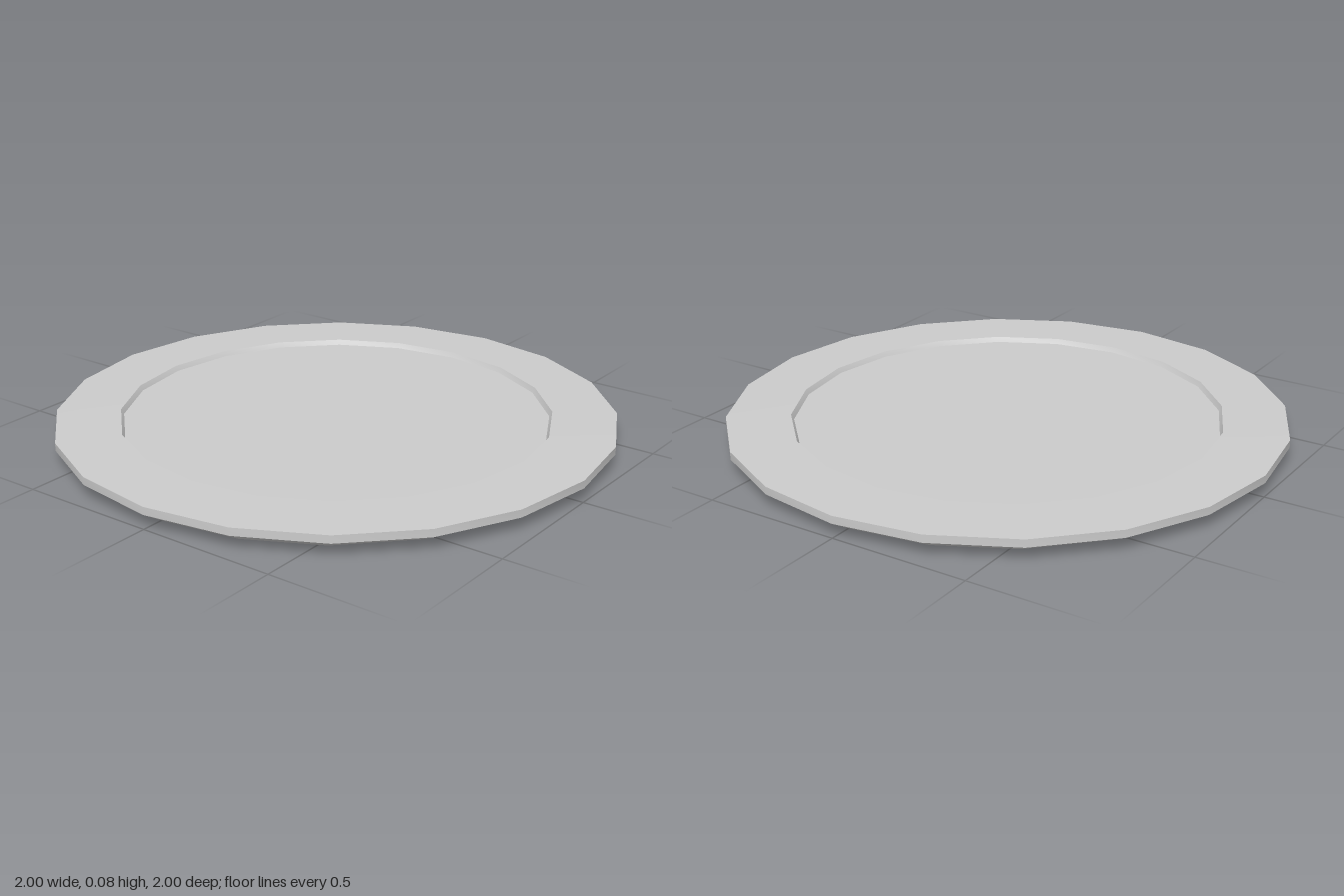
import * as THREE from 'three';
import { toCreasedNormals } from 'three/addons/utils/BufferGeometryUtils.js';

const SIDES = 20;

// Revolve [radius, height] points, listed from the underside outwards and up
function revolve(name, points, material) {
  const profile = points.map(([r, y]) => new THREE.Vector2(r, y));
  const lathe = new THREE.LatheGeometry(profile, SIDES);
  const pos = lathe.attributes.position;
  // The foot is slightly wider from side to side than from front to back
  for (let i = 0; i < pos.count; i++) {
    if (pos.getY(i) < 0.01) pos.setX(i, pos.getX(i) * 1.02);
  }
  const mesh = new THREE.Mesh(toCreasedNormals(lathe, Math.PI / 7), material);
  mesh.name = name;
  return mesh;
}

export function createModel() {
  const group = new THREE.Group();
  group.name = 'plate';
  const material = new THREE.MeshStandardMaterial({ color: 0xcccccc });

  // Flat underside, sloping flank and upright edge band
  group.add(revolve('body', [[0, 0], [0.9, 0], [1, 0.05], [1, 0.078]], material));
  // Broad rim, rising very slightly towards the well
  group.add(revolve('rim', [[1, 0.078], [0.77, 0.082]], material));
  // Shallow recessed centre
  group.add(revolve('well', [[0.77, 0.082], [0.76, 0.064], [0, 0.064]], material));

  return group;
}
